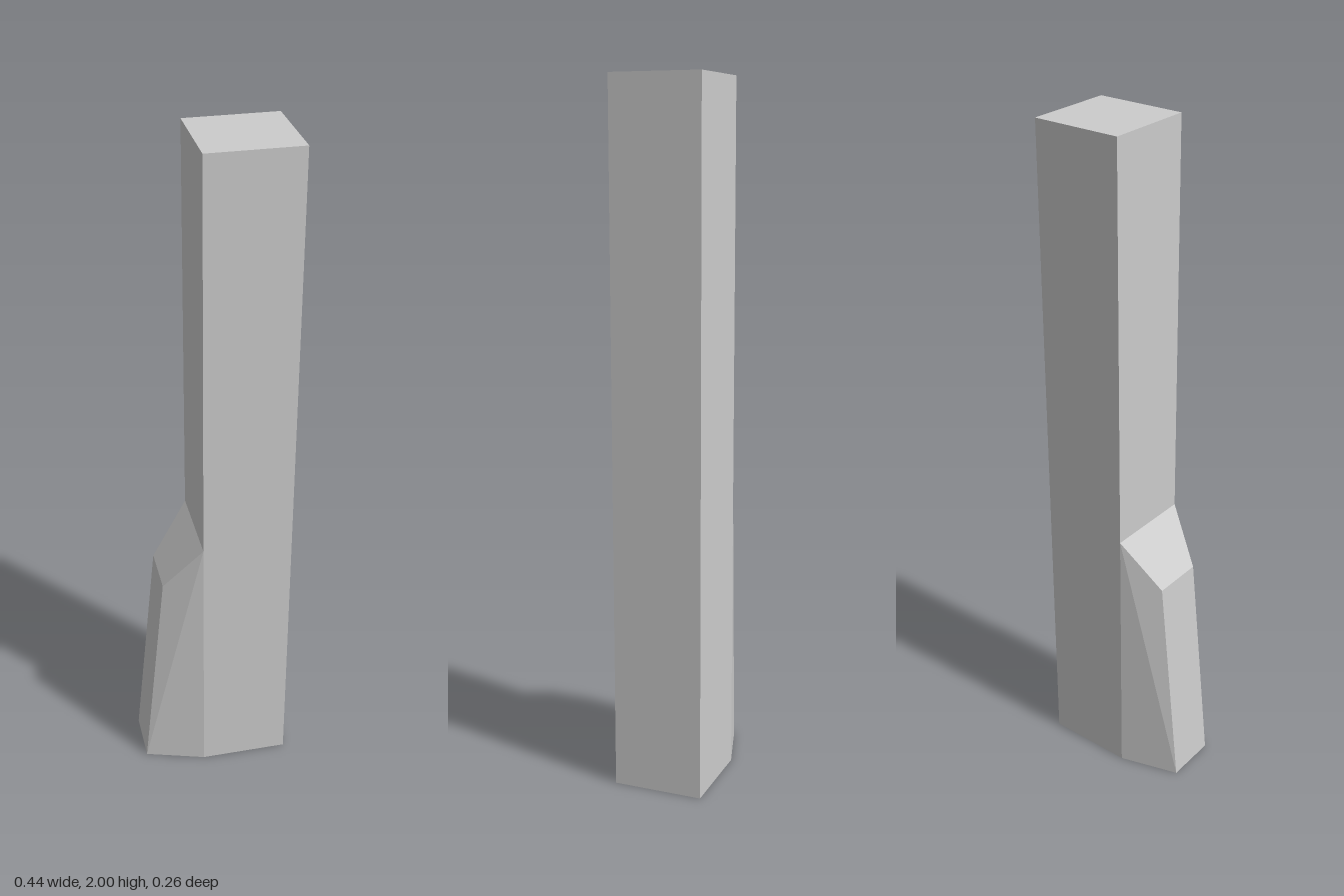
import * as THREE from 'three';
import { ConvexGeometry } from 'three/addons/geometries/ConvexGeometry.js';

const HEIGHT = 2;
const HALF_DEPTH = 0.131;
const INNER_X = -0.043; // side of the post that carries the buttress
const OUTER_X = 0.219;

export function createModel() {
  const group = new THREE.Group();
  group.name = 'buttressedPost';
  const material = new THREE.MeshStandardMaterial({ color: 0xcccccc, flatShading: true });

  // Tall square post
  const post = new THREE.Mesh(
    new THREE.BoxGeometry(OUTER_X - INNER_X, HEIGHT, HALF_DEPTH * 2), material);
  post.name = 'post';
  post.position.set((INNER_X + OUTER_X) / 2, HEIGHT / 2, 0);
  group.add(post);

  // Buttress: x, y and half depth of each corner, mirrored front to back
  const corners = [
    [INNER_X, 0, HALF_DEPTH],
    [INNER_X, 0.825, HALF_DEPTH],
    [-0.154, 0.675, 0.077],
    [-0.219, 0, 0.078],
  ];
  const points = corners.flatMap(([x, y, z]) => [
    new THREE.Vector3(x, y, z),
    new THREE.Vector3(x, y, -z),
  ]);
  const buttress = new THREE.Mesh(new ConvexGeometry(points), material);
  buttress.name = 'buttress';
  group.add(buttress);

  return group;
}
